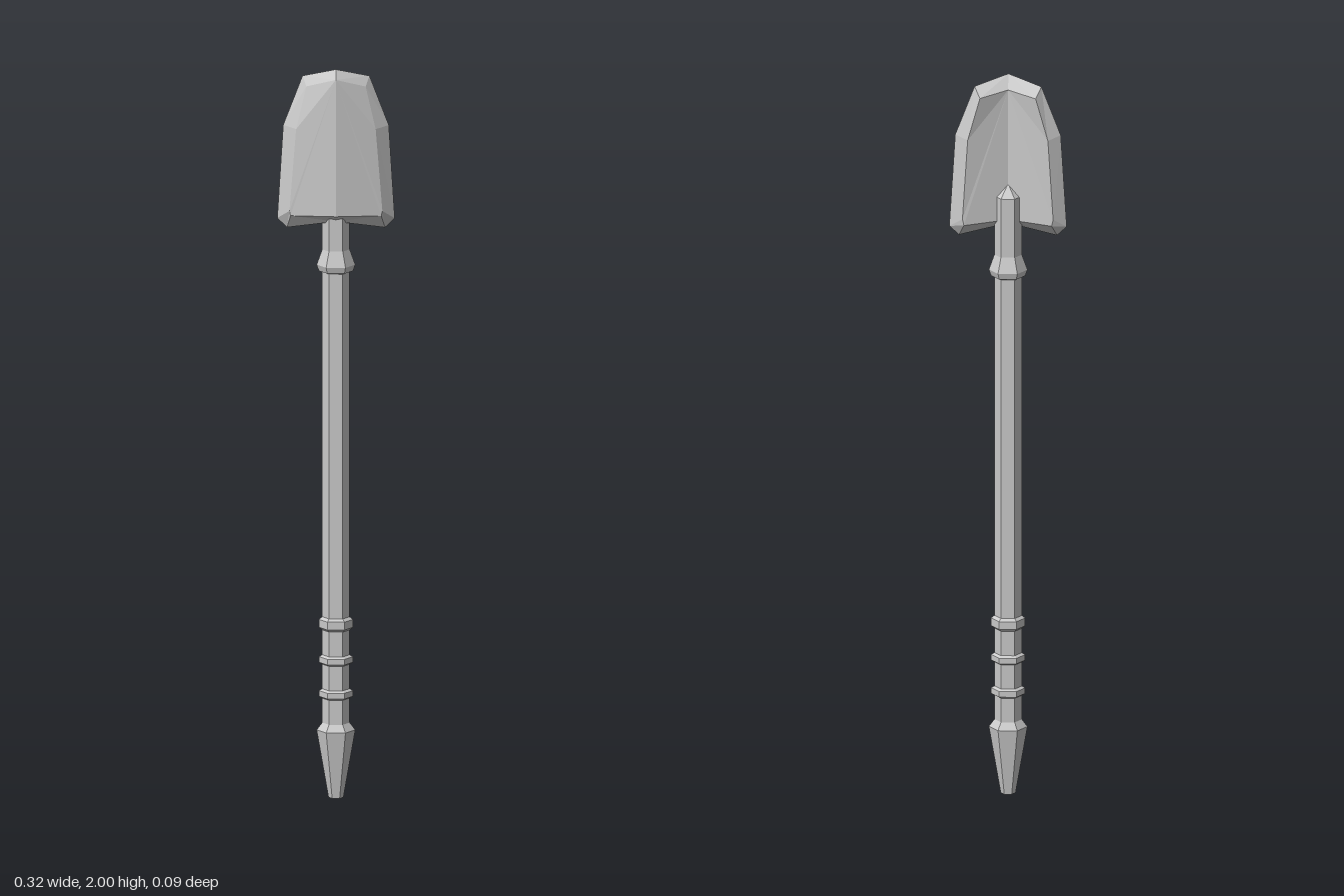
import * as THREE from 'three';

const material = new THREE.MeshStandardMaterial({ color: 0xcccccc, flatShading: true });

// Six-sided turned part from [radius, height] pairs, listed bottom to top
function hexPart(name, profile) {
  const points = profile.map(([r, y]) => new THREE.Vector2(r, y));
  const mesh = new THREE.Mesh(new THREE.LatheGeometry(points, 6, Math.PI / 2), material);
  mesh.name = name;
  return mesh;
}

// V-shaped blade: front face, sharp rim and back face as half outlines, mirrored in x
function bladeGeometry() {
  // top centre, top corner, shoulder, hip, lower corner, bottom centre
  const front = [[0, 1.975, 0.045], [0.08, 1.95, 0.008], [0.107, 1.835, 0.018], [0.125, 1.61, 0.015], [0.122, 1.597, 0.015], [0, 1.6, 0.045]];
  const rim = [[0, 2, 0.025], [0.09, 1.975, -0.015], [0.142, 1.84, -0.015], [0.158, 1.585, -0.015], [0.132, 1.56, -0.012], [0, 1.583, 0.025]];
  const back = [[0, 1.962, -0.003], [0.075, 1.947, -0.037], [0.108, 1.83, -0.037], [0.122, 1.61, -0.037], [0.118, 1.592, -0.037], [0, 1.6, -0.003]];
  const positions = [];
  const tri = (a, b, c) => {
    positions.push(...a, ...b, ...c);
    for (const [x, y, z] of [a, c, b]) positions.push(-x, y, z);
  };
  const band = (p, q, i) => {
    tri(p[i], p[i + 1], q[i + 1]);
    tri(p[i], q[i + 1], q[i]);
  };
  for (let i = 0; i < 5; i++) {
    if (i > 0) {
      tri(front[0], front[i + 1], front[i]);
      tri(back[0], back[i], back[i + 1]);
    }
    band(front, rim, i);
    band(rim, back, i);
  }
  const geometry = new THREE.BufferGeometry();
  geometry.setAttribute('position', new THREE.Float32BufferAttribute(positions, 3));
  geometry.computeVertexNormals();
  return geometry;
}

export function createModel() {
  const group = new THREE.Group();
  group.name = 'shovel';
  const r = 0.037;

  // Handle
  group.add(hexPart('shaft', [[r, 0.19], [r, 1.45]]));
  group.add(hexPart('buttCone', [[0, 0], [0.02, 0], [0.052, 0.185], [r, 0.205]]));

  // Grip rings: centre height, half height
  for (const [y, h] of [[0.285, 0.013], [0.378, 0.013], [0.477, 0.018]]) {
    group.add(hexPart('gripRing', [[r, y - h], [0.046, y - h * 0.6], [0.046, y + h * 0.6], [r, y + h]]));
  }

  // Socket with flared collar, ending in a point on the back of the blade
  group.add(hexPart('socket', [[r, 1.44], [0.046, 1.443], [0.052, 1.46], [r, 1.502], [r, 1.665], [0, 1.7]]));

  const blade = new THREE.Mesh(bladeGeometry(), material);
  blade.name = 'blade';
  group.add(blade);
  return group;
}
